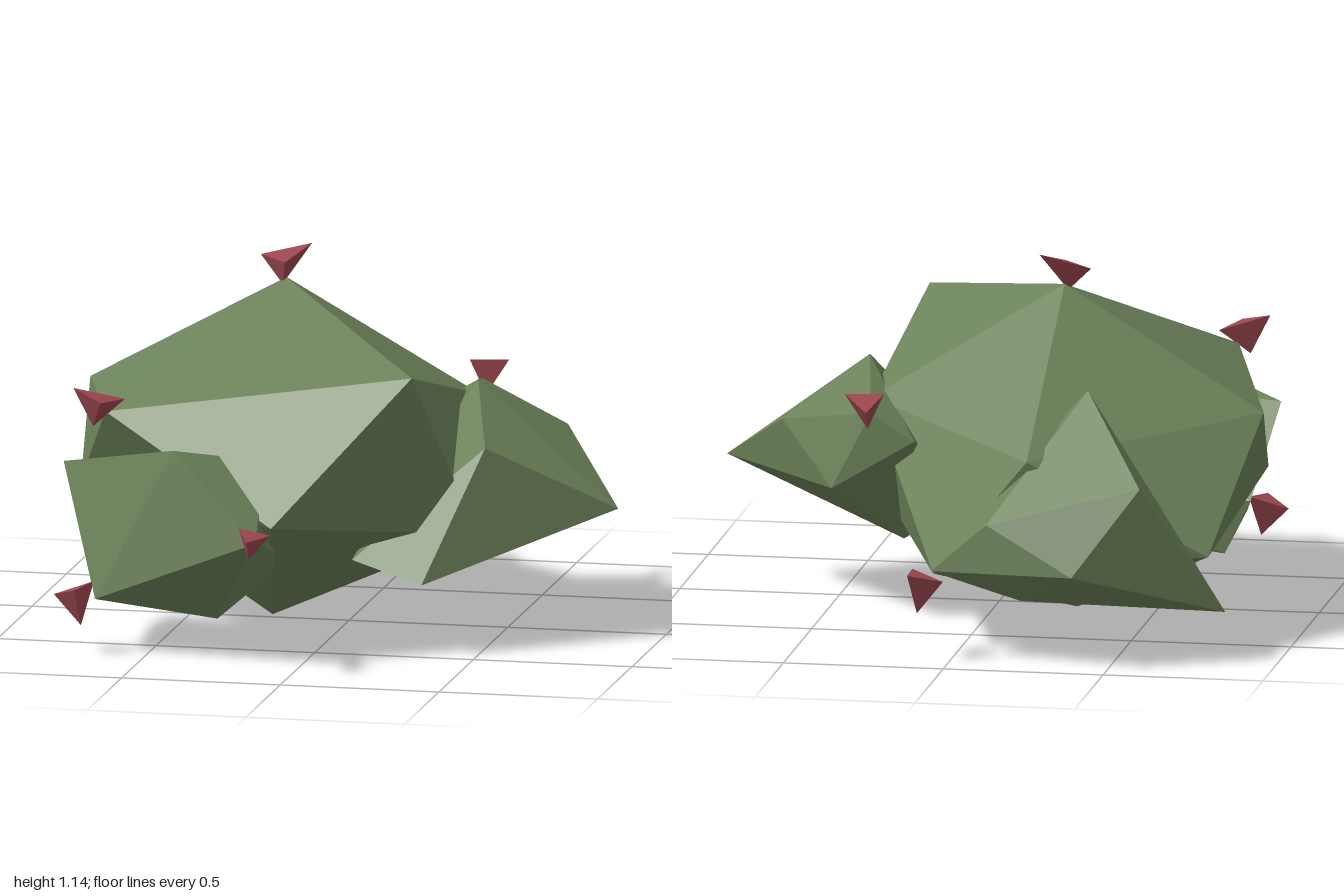
import * as THREE from 'three';
import { ConvexGeometry } from 'three/addons/geometries/ConvexGeometry.js';

// faceted solid spanned by a few corner points
function facetedSolid(name, corners, material) {
  const points = corners.map((c) => new THREE.Vector3(...c));
  const mesh = new THREE.Mesh(new ConvexGeometry(points), material);
  mesh.name = name;
  return mesh;
}

export function createModel() {
  const green = new THREE.MeshStandardMaterial({ color: 0x6c8259 });
  green.name = 'mossGreen';
  const red = new THREE.MeshStandardMaterial({ color: 0x9c4650 });
  red.name = 'dullRed';

  const lobes = {
    // apex, upper ring of five, lower ring of five, bottom
    mainBody: [
      [-0.23, 1.04, -0.15],
      [0.31, 0.88, 0.52], [-0.66, 0.73, 0.5], [-0.87, 0.68, -0.25], [-0.22, 0.61, -0.77], [0.36, 0.68, -0.24],
      [-0.08, 0.44, 0.77], [0.46, 0.35, 0.28], [0.08, 0.24, -0.73], [-0.77, 0.31, -0.67], [-0.82, 0.43, 0.12],
      [-0.25, 0, -0.04],
    ],
    // lobe on the left side, ending in a sharp tip
    leftLobe: [
      [0.87, 0.41, 0.1], [0.4, 0.77, -0.03], [0.64, 0.6, -0.23], [0.5, 0.63, 0.33],
      [0.34, 0.23, 0.52], [0.27, 0.22, -0.16], [0.45, 0.43, -0.43], [0.32, 0.68, -0.47],
      [0.18, 0.6, -0.49], [0.1, 0.28, 0.42],
    ],
    backLobe: [
      [-0.37, 0.79, -0.53], [-0.6, 0.57, -0.92], [-0.4, 0.3, -1], [0.06, 0.28, -0.88],
      [-0.84, 0.16, -0.76], [-0.2, 0.17, -0.76], [0, 0.4, -0.6], [-0.12, 0.44, -0.92],
      [-0.4, 0.25, -0.3],
    ],
    frontLobe: [
      [-0.8, 0.56, 0.46], [-0.4, 0.66, 0.71], [-0.11, 0.41, 0.86], [-0.66, 0.17, 0.65],
      [-0.66, 0.12, 0.25], [-0.3, 0.1, 0.53], [-0.12, 0.25, 0.3], [-0.75, 0.3, 0.2],
      [-0.15, 0.6, 0.52],
    ],
  };

  // small pyramids perched on the outer corners
  const spikes = {
    topSpike: [[-0.32, 1.1, -0.19], [-0.16, 1.14, -0.2], [-0.22, 1.1, -0.08], [-0.24, 1.02, -0.14]],
    shoulderSpike: [[-0.75, 0.81, 0.55], [-0.6, 0.77, 0.49], [-0.65, 0.78, 0.62], [-0.69, 0.69, 0.54]],
    lowFrontSpike: [[-0.79, 0.18, 0.65], [-0.67, 0.22, 0.62], [-0.71, 0.21, 0.73], [-0.7, 0.09, 0.67]],
    frontSpike: [[-0.16, 0.46, 0.87], [-0.06, 0.44, 0.87], [-0.11, 0.44, 0.99], [-0.12, 0.37, 0.91]],
    leftSpike: [[0.32, 0.7, -0.56], [0.4, 0.74, -0.48], [0.28, 0.74, -0.46], [0.33, 0.63, -0.47]],
    backSpike: [[0.02, 0.25, -0.89], [0.12, 0.28, -0.96], [0.13, 0.27, -0.81], [0.1, 0.15, -0.9]],
  };

  const model = new THREE.Group();
  model.name = 'facetedCreature';
  for (const [name, corners] of Object.entries(lobes)) model.add(facetedSolid(name, corners, green));
  for (const [name, corners] of Object.entries(spikes)) model.add(facetedSolid(name, corners, red));
  return model;
}
